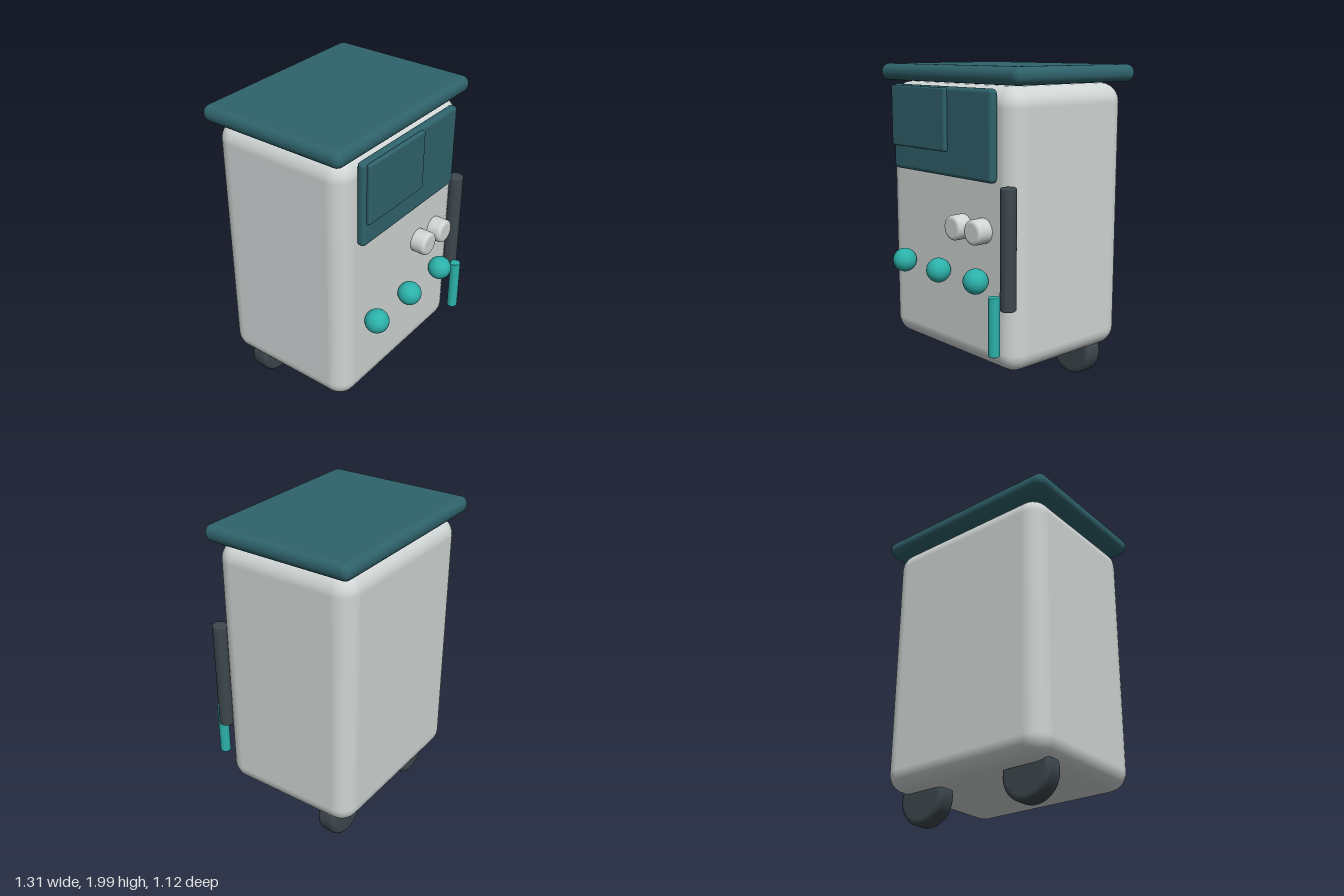
import * as THREE from 'three';
import { RoundedBoxGeometry } from 'three/addons/geometries/RoundedBoxGeometry.js';

const material = (name, color) => {
  const m = new THREE.MeshStandardMaterial({ color });
  m.name = name;
  return m;
};

// Solid disc or rod along y with rounded rims
function roundedCylinder(radius, height, bevel, sides = 40) {
  const h = height / 2;
  const points = [new THREE.Vector2(0, -h), new THREE.Vector2((radius - bevel) * 0.98, -h)];
  for (const side of [-1, 1]) {
    for (let i = 0; i <= 5; i++) {
      const a = (side < 0 ? i - 5 : i) * Math.PI / 10;
      points.push(new THREE.Vector2(
        radius - bevel + bevel * Math.cos(a),
        side * (h - bevel) + bevel * Math.sin(a)));
    }
  }
  points.push(new THREE.Vector2((radius - bevel) * 0.98, h), new THREE.Vector2(0, h));
  return new THREE.LatheGeometry(points, sides);
}

export function createModel() {
  const model = new THREE.Group();
  model.name = 'wheeledCabinet';
  const shell = material('pale grey', 0xd0d6d5);
  const petrol = material('dark petrol', 0x2f626b);
  const rubber = material('charcoal', 0x3d474d);
  const teal = material('bright teal', 0x2cb1aa);

  const add = (name, geometry, mat, x, y, z) => {
    const mesh = new THREE.Mesh(geometry, mat);
    mesh.name = name;
    mesh.position.set(x, y, z);
    model.add(mesh);
    return mesh;
  };
  // Rounded box given by its low and high corners
  const block = (name, mat, lo, hi, radius, segments = 4) => {
    const size = hi.map((v, i) => v - lo[i]);
    const mid = hi.map((v, i) => (v + lo[i]) / 2);
    return add(name, new RoundedBoxGeometry(...size, segments, radius), mat, ...mid);
  };

  // Cabinet and overhanging top
  block('body', shell, [-0.6, 0.21, -0.53], [0.6, 1.89, 0.418], 0.12);
  block('topSlab', petrol, [-0.655, 1.895, -0.56], [0.655, 2.0, 0.441], 0.05);

  // Control panel with its raised screen
  block('panel', petrol, [-0.47, 1.345, 0.41], [0.467, 1.876, 0.468], 0.025);
  block('screen', petrol, [-0.45, 1.495, 0.462], [0.08, 1.87, 0.494], 0.012);

  // Front dials
  for (const x of [0.165, 0.347]) {
    add('dial', roundedCylinder(0.076, 0.115, 0.022), shell, x, 1.053, 0.458)
      .rotation.x = Math.PI / 2;
  }

  // Round front buttons
  for (const x of [-0.35, 0, 0.35]) {
    add('button', new THREE.SphereGeometry(0.076, 32, 20), teal, x, 0.76, 0.486);
  }

  // Upright handle and the slim rod beside its foot
  add('handle', roundedCylinder(0.048, 0.715, 0.01, 28), rubber, 0.572, 0.978, 0.431);
  add('rod', roundedCylinder(0.034, 0.355, 0.005, 28), teal, 0.53, 0.53, 0.502);

  // Rear wheels
  for (const x of [-0.392, 0.392]) {
    add('wheel', roundedCylinder(0.166, 0.126, 0.03, 48), rubber, x, 0.172, -0.338)
      .rotation.x = Math.PI / 2;
  }

  model.position.y = -0.003;
  const root = new THREE.Group();
  root.add(model);
  return root;
}
